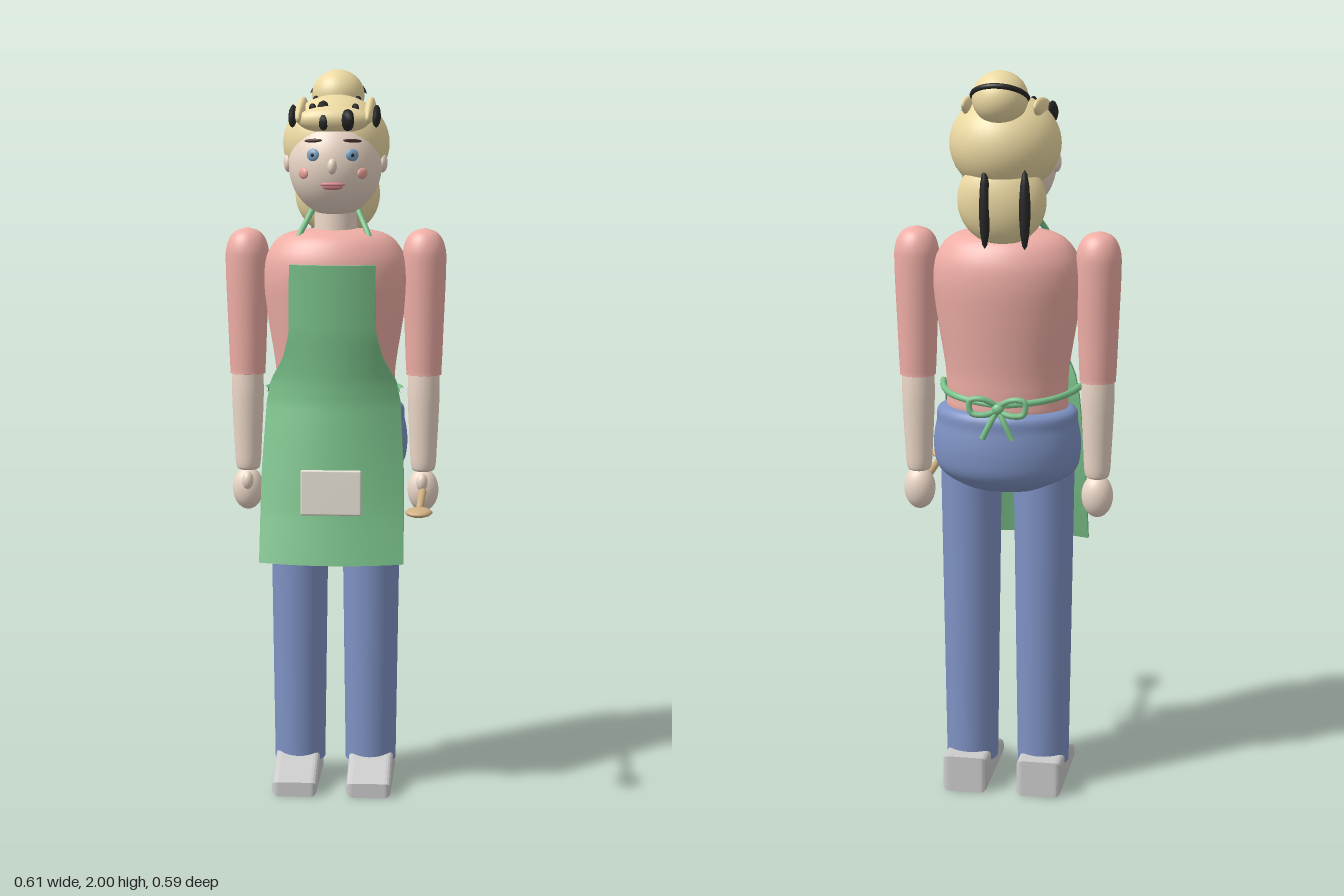
import * as THREE from 'three';
import { RoundedBoxGeometry } from 'three/addons/geometries/RoundedBoxGeometry.js';

const mat = (color) => new THREE.MeshStandardMaterial({ color });
const SKIN = mat(0xecd8c8), SHIRT = mat(0xefaea6), JEANS = mat(0x7e92c4), GREEN = mat(0x7cc48c);
const HAIR = mat(0xecd9a2), BLACK = mat(0x262626), WOOD = mat(0xd2b284), GREY = mat(0xcccccc);
const BLUE = mat(0x7fa6c8), BROW = mat(0x4a3030), LIP = mat(0xd08088), CHEEK = mat(0xeaa49c), POCKET = mat(0xe6e0d4);
const V = (x, y, z) => new THREE.Vector3(x, y, z);

export function createModel() {
  const root = new THREE.Group();
  const add = (name, geo, m, x = 0, y = 0, z = 0) => {
    const mesh = new THREE.Mesh(geo, m);
    mesh.name = name;
    mesh.position.set(x, y, z);
    root.add(mesh);
    return mesh;
  };
  const ball = (name, m, pos, r, rot = [0, 0, 0], seg = 28) => {
    const mesh = add(name, new THREE.SphereGeometry(1, seg, Math.ceil(seg * 0.7)), m, ...pos);
    mesh.scale.set(...r);
    mesh.rotation.set(...rot);
    return mesh;
  };
  const tube = (name, m, pts, r, closed = false) =>
    add(name, new THREE.TubeGeometry(new THREE.CatmullRomCurve3(pts, closed), 32, r, 8, closed), m);
  // Turned solid; the profile runs from bottom to top
  const lathe = (name, m, profile, x, z, zScale = 1) => {
    const curve = new THREE.SplineCurve(profile.map(([r, y]) => new THREE.Vector2(r, y)));
    const pts = curve.getPoints(40).map((p) => new THREE.Vector2(Math.max(p.x, 0), p.y));
    const mesh = add(name, new THREE.LatheGeometry(pts, 40), m, x, 0, z);
    mesh.scale.z = zScale;
    return mesh;
  };

  // Torso, hips and neck
  lathe('torso', SHIRT, [[0, 1.06], [0.15, 1.07], [0.163, 1.13], [0.168, 1.2], [0.19, 1.34], [0.2, 1.44],
    [0.184, 1.51], [0.13, 1.558], [0, 1.575]], 0, -0.115, 0.735);
  lathe('hips', JEANS, [[0, 0.86], [0.11, 0.867], [0.182, 0.91], [0.2, 0.97], [0.193, 1.04], [0.17, 1.09], [0, 1.095]],
    0, -0.117, 0.745);
  add('neck', new THREE.CylinderGeometry(0.056, 0.06, 0.12, 28), SKIN, 0, 1.6, -0.115);

  // Shoe profile, toe towards +x of the shape
  const shoe = new THREE.Shape([[0.054, 0.026], [0.054, 0.04], [-0.03, 0.075], [-0.085, 0.093], [-0.21, 0.095], [-0.212, 0.026]]
    .map(([a, b]) => new THREE.Vector2(a, b)));
  const shoeGeo = new THREE.ExtrudeGeometry(shoe, {
    depth: 0.09, bevelEnabled: true, bevelSize: 0.016, bevelThickness: 0.017, bevelSegments: 4 });
  shoeGeo.translate(0, -0.009, -0.045).rotateY(-Math.PI / 2);

  // Limbs, mirrored
  for (const s of [1, -1]) {
    add('leg', new THREE.CylinderGeometry(0.083, 0.071, 0.88, 32), JEANS, s * 0.1, 0.51, -0.112);
    add('shoe', shoeGeo, GREY, s * 0.103, 0, 0);
    lathe('sleeve', SHIRT, [[0, 1.165], [0.044, 1.166], [0.049, 1.18], [0.054, 1.3], [0.06, 1.46], [0.057, 1.52],
      [0.037, 1.557], [0, 1.571]], s * 0.245, -0.117);
    lathe('forearm', SKIN, [[0, 0.893], [0.025, 0.895], [0.034, 0.91], [0.038, 0.97], [0.044, 1.1], [0.043, 1.18]],
      s * 0.245, -0.113);
    ball('hand', SKIN, [s * 0.245, 0.842, -0.108], [0.043, 0.06, 0.038]);
    ball('thumb', SKIN, [s * 0.243, 0.868, -0.075], [0.016, 0.025, 0.018]);
    ball('ear', SKIN, [s * 0.129, 1.75, -0.11], [0.014, 0.027, 0.024]);
  }

  // Spoon held in the left hand
  const handle = add('spoonHandle', new THREE.CylinderGeometry(0.009, 0.012, 0.34, 12), WOOD, 0.245, 0.842, 0.04);
  handle.rotation.x = Math.PI / 2;
  ball('spoonBowl', WOOD, [0.245, 0.842, 0.24], [0.037, 0.012, 0.052], [0, 0, 0], 12);

  // Head and face
  const face = { c: V(0, 1.745, -0.1), r: V(0.128, 0.142, 0.125) };
  ball('face', SKIN, face.c.toArray(), face.r.toArray(), [0, 0, 0], 40);
  const onFace = (x, y, lift = 0) => {
    const k = 1 - (x / face.r.x) ** 2 - ((y - face.c.y) / face.r.y) ** 2;
    return [x, y, face.c.z + face.r.z * Math.sqrt(k) + lift];
  };
  ball('nose', SKIN, onFace(0, 1.745, 0.004), [0.013, 0.021, 0.015]);
  ball('upperLip', LIP, onFace(0, 1.696), [0.034, 0.007, 0.009]);
  ball('lowerLip', LIP, onFace(0, 1.689), [0.028, 0.008, 0.009]);
  for (const s of [1, -1]) {
    ball('eye', BLUE, onFace(s * 0.053, 1.775), [0.018, 0.017, 0.008], [0, s * 0.4, 0]);
    ball('pupil', BLACK, onFace(s * 0.053, 1.775, 0.006), [0.006, 0.006, 0.004]);
    ball('cheek', CHEEK, onFace(s * 0.08, 1.725), [0.017, 0.015, 0.007], [0, s * 0.7, 0]);
    ball('eyebrow', BROW, onFace(s * 0.053, 1.813, 0.002), [0.027, 0.005, 0.006], [0, s * 0.4, -s * 0.05]);
  }

  // Hair: cap, fringe, side rolls, bun and ponytail
  ball('hairCap', HAIR, [0, 1.802, -0.143], [0.147, 0.132, 0.14], [0, 0, 0], 40);
  ball('fringe', HAIR, [0, 1.868, -0.03], [0.1, 0.038, 0.042]);
  ball('bun', HAIR, [0, 1.931, -0.223], [0.073, 0.07, 0.072], [0, 0, 0], 32);
  // Band round the back half of the bun
  const bandGeo = new THREE.TorusGeometry(0.071, 0.0075, 10, 40, Math.PI).rotateX(-Math.PI / 2);
  add('bunBand', bandGeo, BLACK, 0, 1.932, -0.223).rotation.x = 0.55;
  ball('ponytail', HAIR, [0, 1.66, -0.2], [0.118, 0.118, 0.067], [0, 0, 0], 32);
  for (const x of [-0.07, 0.035]) {
    ball('ponytailStreak', BLACK, [x, 1.647, -0.258], [0.015, 0.105, 0.014], [0, 0, 0], 10);
  }
  for (const s of [1, -1]) {
    ball('hairRoll', HAIR, [s * 0.094, 1.892, -0.118], [0.015, 0.028, 0.13], [0.16, 0, 0]);
    ball('sideStreak', BLACK, [s * 0.114, 1.877, -0.073], [0.012, 0.028, 0.056], [0.25, 0, 0], 10);
    ball('frontFleck', BLACK, [s * 0.058, 1.9, -0.046], [0.01, 0.012, 0.02], [0, 0, 0], 8);
    ball('topFleck', BLACK, [s * 0.058, 1.918, -0.17], [0.009, 0.012, 0.022], [0, 0, 0], 8);
  }
  ball('fringeStreak', BLACK, [-0.03, 1.893, -0.037], [0.018, 0.018, 0.045], [0.5, 0, 0], 8);
  ball('fringeStreak', BLACK, [0.04, 1.868, -0.003], [0.02, 0.03, 0.028], [0, 0, 0], 8);
  ball('fringeStreak', BLACK, [-0.025, 1.862, 0.004], [0.014, 0.022, 0.012], [0, 0, 0], 8);

  // Apron: rows of [height, half width, centre depth, bend]
  const rows = [[0.665, 0.198, 0.101, 0.9], [0.8, 0.197, 0.073, 1.1], [0.92, 0.195, 0.056, 1.4], [1.02, 0.189, 0.043, 1.7],
    [1.1, 0.184, 0.032, 1.95], [1.16, 0.172, 0.031, 2.1], [1.22, 0.138, 0.036, 2], [1.29, 0.119, 0.043, 1.8], [1.48, 0.117, 0.051, 1.7]];
  const rowAt = (y) => {
    let i = 0;
    while (i < rows.length - 2 && y > rows[i + 1][0]) i++;
    const [a, b] = [rows[i], rows[i + 1]];
    const t = (y - a[0]) / (b[0] - a[0]);
    return a.map((v, k) => THREE.MathUtils.lerp(v, b[k], t));
  };
  const apron = new THREE.BoxGeometry(2, 0.815, 0.016, 20, 45, 1);
  const p = apron.attributes.position;
  for (let i = 0; i < p.count; i++) {
    const y = p.getY(i) + 1.0725;
    const [, w, zc, bend] = rowAt(y);
    const x = p.getX(i) * w;
    p.setXYZ(i, x, y, zc - bend * x * x + p.getZ(i));
  }
  apron.computeVertexNormals();
  add('apron', apron, GREEN);
  add('pocket', new RoundedBoxGeometry(0.166, 0.124, 0.012, 3, 0.005), POCKET, 0, 0.862, 0.077).rotation.x = -0.06;

  // Neck straps, waist ties and the bow behind
  for (const s of [1, -1]) {
    tube('neckStrap', GREEN, [V(s * 0.04, 1.635, -0.15), V(s * 0.058, 1.628, -0.105), V(s * 0.078, 1.59, -0.075),
      V(s * 0.098, 1.545, -0.045), V(s * 0.105, 1.5, -0.04)], 0.008);
    tube('waistTie', GREEN, [V(s * 0.19, 1.13, -0.04), V(s * 0.172, 1.13, -0.12), V(s * 0.135, 1.128, -0.187),
      V(s * 0.08, 1.124, -0.225), V(0, 1.12, -0.25)], 0.009);
    tube('bowLoop', GREEN, [V(0, 1.115, -0.262), V(s * 0.04, 1.143, -0.275), V(s * 0.073, 1.138, -0.275),
      V(s * 0.07, 1.105, -0.275), V(s * 0.035, 1.1, -0.275)], 0.008, true);
    tube('bowTail', GREEN, [V(0, 1.115, -0.262), V(s * 0.018, 1.08, -0.274), V(s * 0.04, 1.035, -0.276)], 0.008);
  }
  ball('bowKnot', GREEN, [0, 1.115, -0.266], [0.017, 0.016, 0.014]);

  return root;
}
